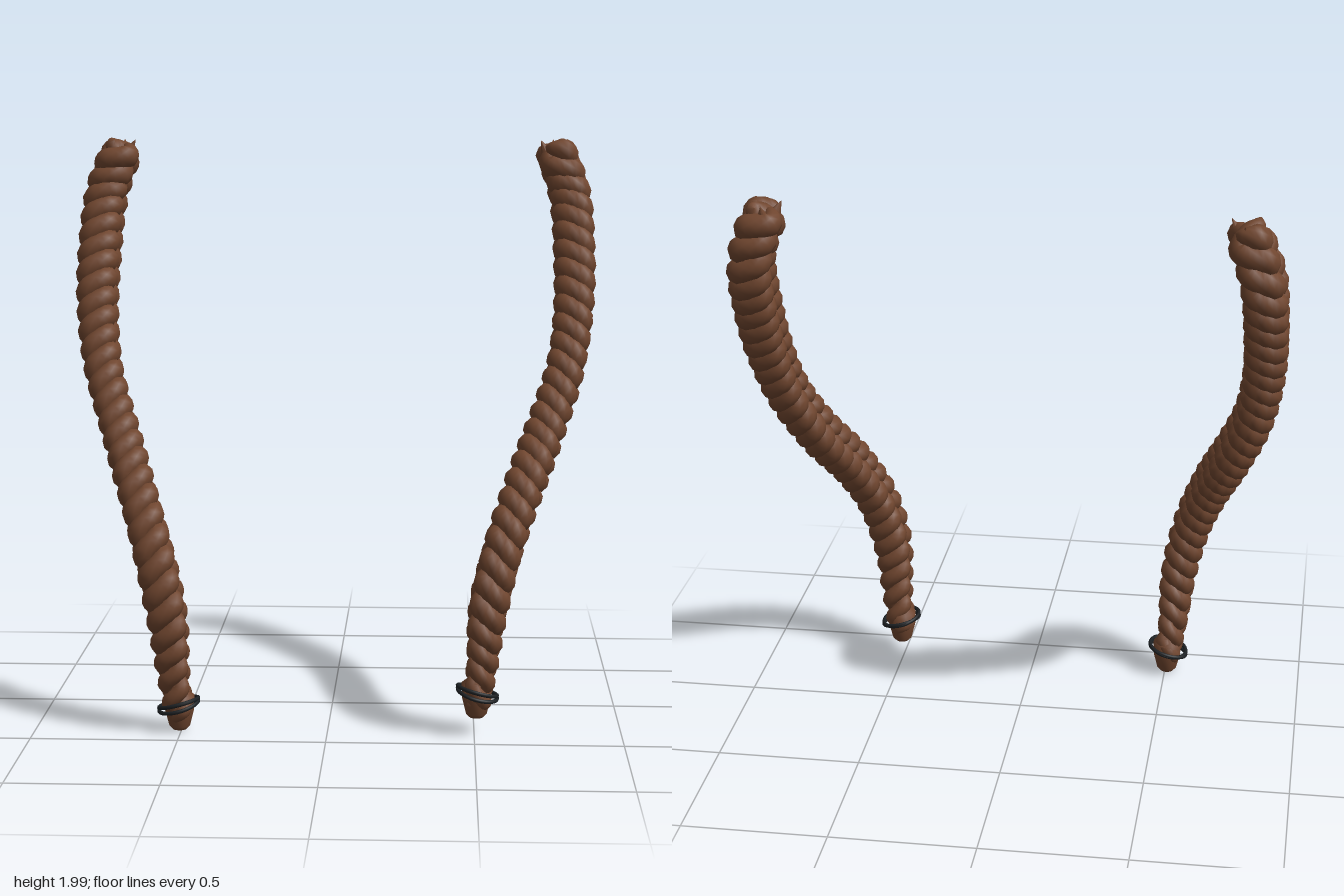
import * as THREE from 'three';

const hair = new THREE.MeshStandardMaterial({ color: 0x70462f });
hair.name = 'brown hair';
const band = new THREE.MeshStandardMaterial({ color: 0x1c2023 });
band.name = 'black elastic';

// Centre line of one braid (+x side), from top to tip
const PATH = [
  [0.775, 1.97, -0.392], [0.835, 1.8, -0.378], [0.85, 1.6, -0.275], [0.845, 1.4, -0.16],
  [0.812, 1.2, -0.045], [0.738, 1.0, 0.09], [0.655, 0.8, 0.26], [0.586, 0.6, 0.37],
  [0.542, 0.4, 0.4], [0.525, 0.2, 0.38], [0.507, 0.04, 0.365],
];
const PERIODS = 10;
const STEPS = 330;
const SIDES = 10;

// Skin a closed cross-section along a list of rings
function skin(rings) {
  const pos = [], index = [], n = rings[0].length;
  rings.forEach(r => r.forEach(p => pos.push(p.x, p.y, p.z)));
  for (let i = 0; i < rings.length - 1; i++) {
    for (let j = 0; j < n; j++) {
      const a = i * n + j, b = i * n + (j + 1) % n;
      index.push(a, a + n, b, b, a + n, b + n);
    }
  }
  const g = new THREE.BufferGeometry();
  g.setAttribute('position', new THREE.Float32BufferAttribute(pos, 3));
  g.setIndex(index);
  g.computeVertexNormals();
  return g;
}

function makeBraid(side, lift) {
  const braid = new THREE.Group();
  const path = new THREE.CatmullRomCurve3(PATH.map(([x, y, z]) =>
    new THREE.Vector3(side * x, y + lift * Math.max(0, 1 - y), z)));
  path.arcLengthDivisions = 600;

  // Braid frame: T down the braid, W across its face, N out of its face
  const frame = u => {
    const T = path.getTangentAt(u);
    const W = new THREE.Vector3(side, 0, 0).cross(T).normalize();
    return { C: path.getPointAt(u), W, N: T.clone().cross(W).normalize() };
  };
  // Fuller at the top, slimmer towards the tie
  const taper = u => 1.08 - 0.08 * THREE.MathUtils.smoothstep(u, 0.2, 0.4)
    - 0.3 * THREE.MathUtils.smoothstep(u, 0.8, 1);

  // Three interwoven strands
  for (let k = 0; k < 3; k++) {
    const centre = u => {
      const { C, W, N } = frame(u);
      const t = u * PERIODS * Math.PI * 2 + k * Math.PI * 2 / 3;
      return C.addScaledVector(W, 0.047 * taper(u) * Math.sin(t))
        .addScaledVector(N, -0.033 * taper(u) * Math.sin(2 * t));
    };
    const rings = [];
    for (let i = 0; i <= STEPS; i++) {
      const u = i / STEPS, c = centre(u);
      const d = centre(Math.min(1, u + 0.001)).sub(centre(Math.max(0, u - 0.001))).normalize();
      const { N } = frame(u);
      const across = d.clone().cross(N).normalize();
      const out = across.clone().cross(d).normalize();
      const end = Math.min(1, Math.sqrt(i / 5), Math.sqrt((STEPS - i) / 5));
      const r = taper(u) * end;
      const ring = [];
      for (let j = 0; j < SIDES; j++) {
        const a = j / SIDES * Math.PI * 2;
        ring.push(c.clone().addScaledVector(across, 0.041 * r * Math.cos(a))
          .addScaledVector(out, 0.038 * r * Math.sin(a)));
      }
      rings.push(ring);
    }
    const strand = new THREE.Mesh(skin(rings), hair);
    strand.name = 'strand' + (k + 1);
    braid.add(strand);
  }

  // Loose tips at the top of the braid
  const top = path.getPointAt(0);
  for (let i = 0; i < 3; i++) {
    const a = i * 2.1 + 0.6;
    const tip = new THREE.Mesh(new THREE.ConeGeometry(0.025, 0.06, 8), hair);
    tip.name = 'looseTip';
    tip.position.set(top.x + side * 0.035 * Math.cos(a), top.y - 0.01, top.z + 0.05 * Math.sin(a));
    tip.rotation.set(0.5 * Math.sin(a), 0, -0.5 * side * Math.cos(a));
    braid.add(tip);
  }

  // Blunt tuft below the tie
  const profile = [[0, 0], [0.024, 0.002], [0.036, 0.015], [0.05, 0.07], [0.052, 0.12], [0, 0.16]];
  const tuft = new THREE.Mesh(new THREE.LatheGeometry(
    profile.map(([x, y]) => new THREE.Vector2(x, y)), 14), hair);
  tuft.name = 'endTuft';
  tuft.position.set(side * 0.507, lift, 0.362);
  braid.add(tuft);

  // Elastic wound twice round the end
  for (const [dy, tilt] of [[-0.005, 0.1], [0.005, -0.1]]) {
    const loop = new THREE.Mesh(new THREE.TorusGeometry(0.069, 0.007, 8, 32), band);
    loop.name = 'hairTie';
    loop.rotation.set(Math.PI / 2 + tilt, -side * 0.25, 0);
    loop.position.set(side * 0.51, 0.09 + lift + dy, 0.365);
    braid.add(loop);
  }
  return braid;
}

export function createModel() {
  const model = new THREE.Group();
  model.name = 'braids';
  const left = makeBraid(1, 0.055);
  left.name = 'leftBraid';
  const right = makeBraid(-1, 0);
  right.name = 'rightBraid';
  model.add(left, right);
  return model;
}
